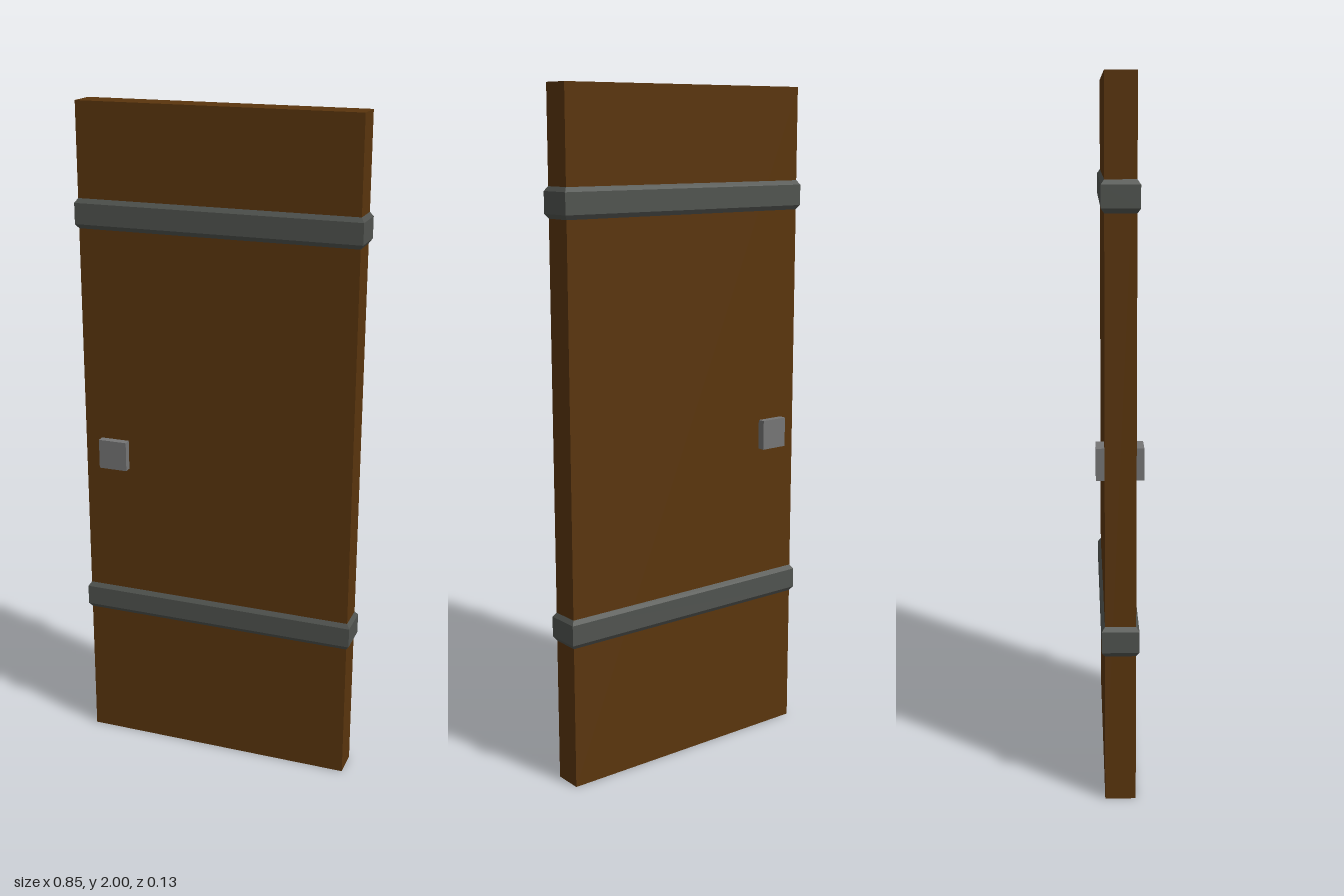
import * as THREE from 'three';

const wood = new THREE.MeshStandardMaterial({ color: 0x5a350d });
wood.name = 'brown wood';
const iron = new THREE.MeshStandardMaterial({ color: 0x50534f });
iron.name = 'dark iron';
const steel = new THREE.MeshStandardMaterial({ color: 0x757575 });
steel.name = 'grey steel';

const HALF_W = 0.417, HALF_D = 0.043;

// Iron strap wrapped around the door, with chamfered upper and lower edges
function makeBand(name, bottom, top) {
  const bevel = 0.013;
  const outline = new THREE.Shape([
    new THREE.Vector2(-HALF_W, -HALF_D),
    new THREE.Vector2(HALF_W, -HALF_D),
    new THREE.Vector2(HALF_W, HALF_D),
    new THREE.Vector2(-HALF_W, HALF_D),
  ]);
  const geometry = new THREE.ExtrudeGeometry(outline, {
    depth: top - bottom - 2 * bevel,
    bevelEnabled: true,
    bevelThickness: bevel,
    bevelSize: 0.009,
    bevelSegments: 1,
  });
  geometry.rotateX(-Math.PI / 2);
  geometry.translate(0, bottom + bevel, 0);
  const band = new THREE.Mesh(geometry, iron);
  band.name = name;
  return band;
}

export function createModel() {
  const door = new THREE.Group();
  door.name = 'door';

  // Door slab
  const slab = new THREE.Mesh(new THREE.BoxGeometry(HALF_W * 2, 2, HALF_D * 2), wood);
  slab.name = 'slab';
  slab.position.y = 1;
  door.add(slab);

  // Straps
  door.add(makeBand('lowerBand', 0.427, 0.513), makeBand('upperBand', 1.64, 1.727));

  // Square handle plates on both faces
  for (const side of [1, -1]) {
    const handle = new THREE.Mesh(new THREE.BoxGeometry(0.088, 0.09, 0.03), steel);
    handle.name = side > 0 ? 'frontHandle' : 'backHandle';
    handle.position.set(-0.322, 0.96, side * 0.051);
    door.add(handle);
  }
  return door;
}
